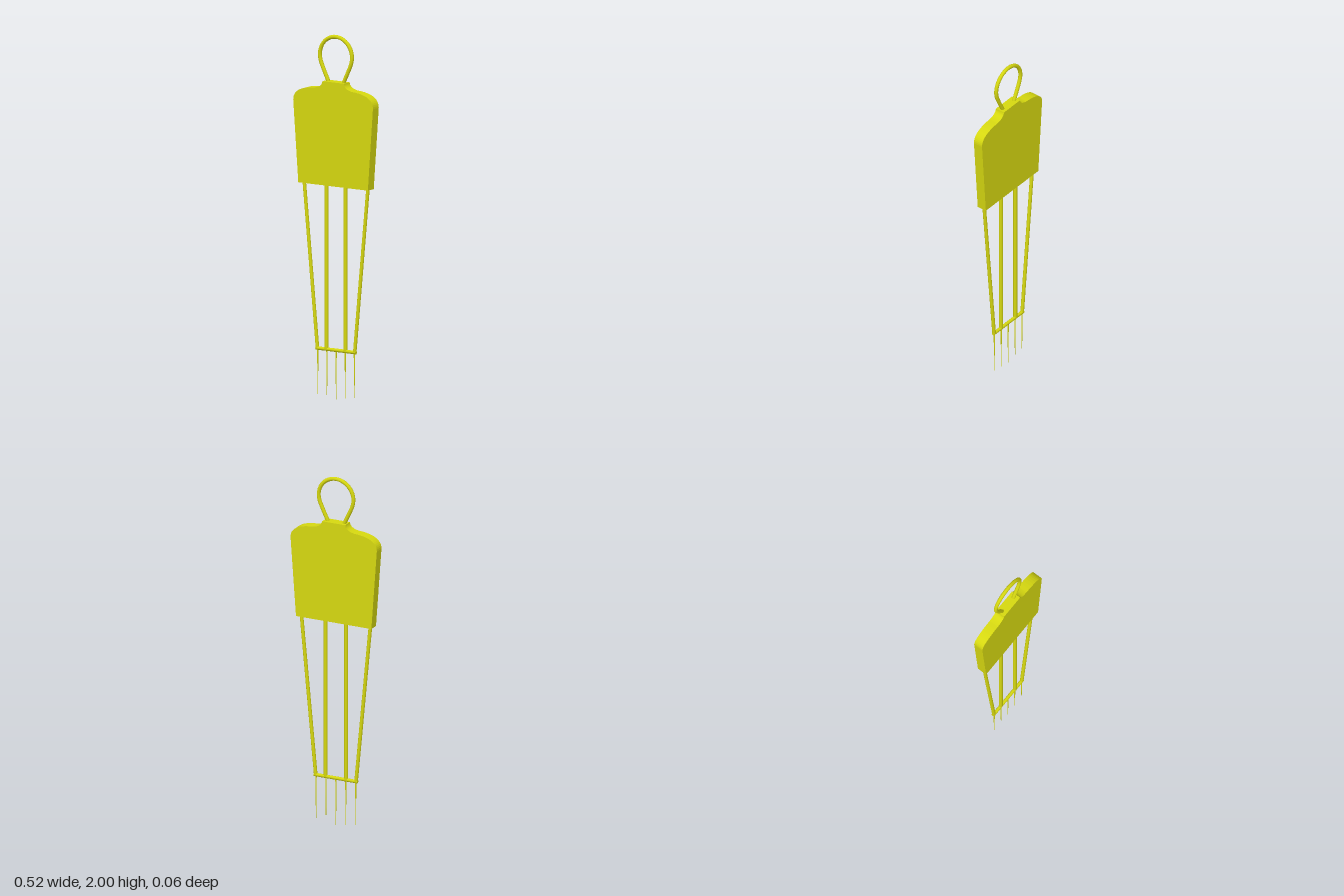
import * as THREE from 'three';

export function createModel() {
  const group = new THREE.Group();
  group.name = 'trainingDummy';
  const material = new THREE.MeshStandardMaterial({ color: 0xd6d810 });
  const z = -0.002;

  function add(name, geometry) {
    const mesh = new THREE.Mesh(geometry, material);
    mesh.name = name;
    group.add(mesh);
    return mesh;
  }

  // Straight round bar between two points in the middle plane
  function rod(name, x1, y1, x2, y2, r1, r2 = r1, sides = 10) {
    const a = new THREE.Vector3(x1, y1, z), b = new THREE.Vector3(x2, y2, z);
    const dir = b.clone().sub(a);
    const mesh = add(name, new THREE.CylinderGeometry(r2, r1, dir.length(), sides));
    mesh.position.copy(a).add(b).multiplyScalar(0.5);
    mesh.quaternion.setFromUnitVectors(new THREE.Vector3(0, 1, 0), dir.normalize());
  }

  // Torso panel: tapered sides, rounded shoulders, short neck
  const s = new THREE.Shape();
  s.moveTo(-0.228, 1.172);
  s.lineTo(0.228, 1.172);
  s.lineTo(0.261, 1.622);
  s.bezierCurveTo(0.262, 1.665, 0.225, 1.698, 0.125, 1.703);
  s.bezierCurveTo(0.095, 1.708, 0.073, 1.718, 0.07, 1.743);
  s.lineTo(-0.07, 1.743);
  s.bezierCurveTo(-0.073, 1.718, -0.095, 1.708, -0.125, 1.703);
  s.bezierCurveTo(-0.225, 1.698, -0.262, 1.665, -0.261, 1.622);
  s.closePath();
  const torso = new THREE.ExtrudeGeometry(s, { depth: 0.056, bevelEnabled: false, curveSegments: 12 });
  add('torsoPanel', torso.translate(0, 0, -0.029));

  // Head loop: straight necks running into a round arc
  const points = [[-0.046, 1.725], [-0.052, 1.745], [-0.078, 1.8]];
  for (let i = 0; i <= 12; i++) {
    const a = Math.PI * (1.1 - 1.2 * i / 12);
    points.push([0.105 * Math.cos(a), 1.884 + 0.105 * Math.sin(a)]);
  }
  points.push([0.078, 1.8], [0.052, 1.745], [0.046, 1.725]);
  const loop = new THREE.CatmullRomCurve3(points.map(([x, y]) => new THREE.Vector3(x - 0.001, y, z)));
  add('headLoop', new THREE.TubeGeometry(loop, 64, 0.011, 8));

  // Legs: two slanted outside, two upright inside
  for (const side of [-1, 1]) {
    rod('outerLeg', side * 0.122, 0.268, side * 0.211, 1.2, 0.01);
    rod('innerLeg', side * 0.062, 0.268, side * 0.062, 1.2, 0.011);
  }

  // Foot bar joining the legs
  rod('footBar', -0.131, 0.269, 0.131, 0.269, 0.0095);

  // Ground spikes, the middle one longest
  for (let i = -2; i <= 2; i++) {
    const tip = [0, 0.01, 0.018][Math.abs(i)];
    rod('groundSpike', i * 0.06, tip, i * 0.06, 0.268, 0.001, 0.004, 8);
  }

  return group;
}
